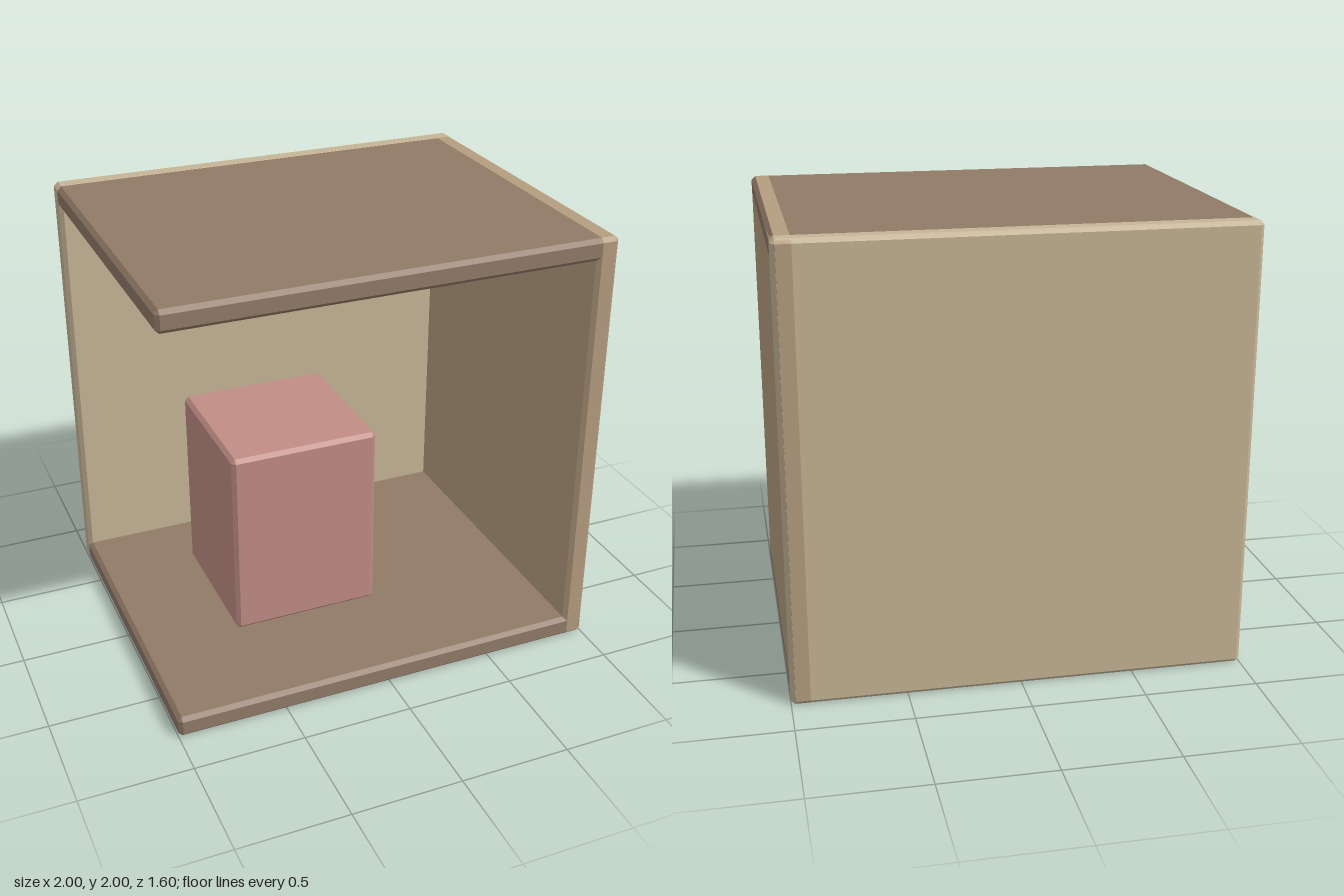
import * as THREE from 'three';
import { ConvexGeometry } from 'three/addons/geometries/ConvexGeometry.js';

// Box between two corners, with every edge cut by a small flat chamfer
function chamferBox(name, color, min, max, c = 0.018) {
  const half = min.map((v, i) => (max[i] - v) / 2);
  const points = [];
  for (const sx of [-1, 1]) for (const sy of [-1, 1]) for (const sz of [-1, 1]) {
    const sign = [sx, sy, sz];
    // three points per corner, one on each adjoining face
    for (let axis = 0; axis < 3; axis++) {
      points.push(new THREE.Vector3(...sign.map((s, i) => s * (half[i] - (i === axis ? 0 : c)))));
    }
  }
  const mesh = new THREE.Mesh(new ConvexGeometry(points), new THREE.MeshStandardMaterial({ color }));
  mesh.position.set(...min.map((v, i) => (v + max[i]) / 2));
  mesh.name = name;
  return mesh;
}

export function createModel() {
  const group = new THREE.Group();
  group.name = 'openRoom';
  const brown = 0x917a67, tan = 0xb59d7f, cream = 0xc6b596, pink = 0xc08c85;
  const t = 0.1; // panel thickness
  const e = 0.0006; // tiny inset that keeps overlapping panel faces apart

  group.add(
    // Floor and ceiling
    chamferBox('floor', brown, [-1 + e, 2 * e, -0.8 + 2 * e], [1 - e, t, 0.8 - e]),
    chamferBox('ceiling', brown, [-1 + e, 2 - t, -0.8 + 2 * e], [1 - e, 2 - 2 * e, 0.8 - e]),
    // Side wall and back wall; the other side and the front stay open
    chamferBox('sideWall', tan, [1 - t, e, -0.8], [1 - 2 * e, 2 - e, 0.8]),
    chamferBox('backWall', cream, [-1, 0, -0.8 + e], [1, 2, -0.8 + t]),
    // Block standing on the floor
    chamferBox('block', pink, [-0.55, t, -0.4], [0.145, 1, 0.29])
  );
  return group;
}
